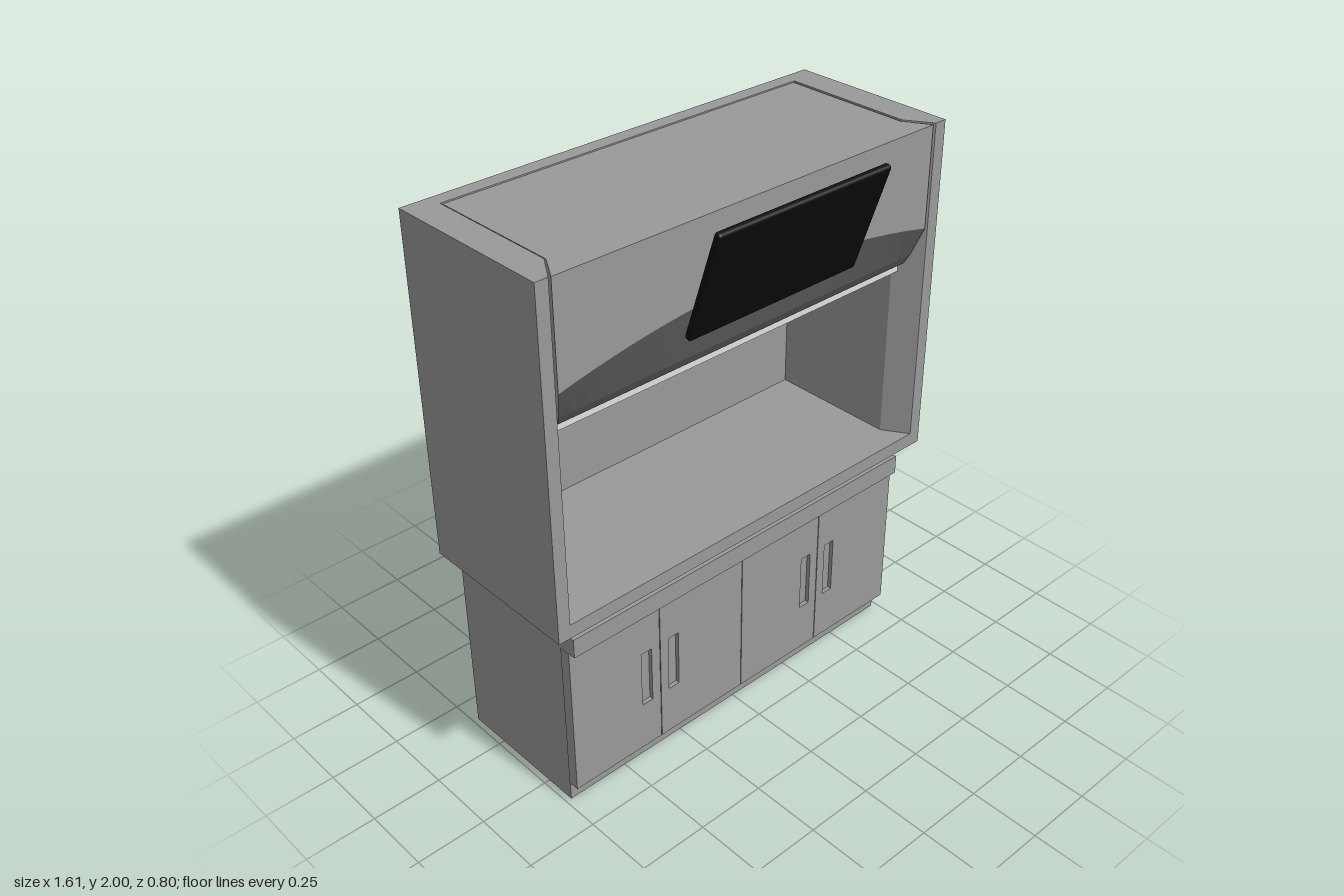
import * as THREE from 'three';
import { RoundedBoxGeometry } from 'three/addons/geometries/RoundedBoxGeometry.js';

const mat = (name, color) => {
  const m = new THREE.MeshStandardMaterial({ color });
  m.name = name;
  return m;
};

export function createModel() {
  const group = new THREE.Group();
  const grey = mat('cabinet grey', 0x999999);
  const dark = mat('dark fascia', 0x5c5c5c);
  const light = mat('light strip', 0xe0e0e0);
  const black = mat('screen black', 0x0c0c0c);

  const add = (name, geo, material) => {
    const mesh = new THREE.Mesh(geo, material);
    mesh.name = name;
    group.add(mesh);
    return mesh;
  };
  // Box given by its limits on each axis
  const box = (name, x0, x1, y0, y1, z0, z1, material = grey) => {
    const mesh = add(name, new THREE.BoxGeometry(x1 - x0, y1 - y0, z1 - z0), material);
    mesh.position.set((x0 + x1) / 2, (y0 + y1) / 2, (z0 + z1) / 2);
    return mesh;
  };

  // Base cupboard
  box('baseCabinet', -0.73, 0.73, 0, 0.715, -0.4, 0.115);
  box('counterTrim', -0.73, 0.73, 0.645, 0.715, 0.115, 0.18);
  box('neck', -0.7, 0.7, 0.715, 0.76, -0.375, 0.09);

  // Four doors with recessed grips either side of the outer seams
  const doorWidth = 0.367;
  for (let i = 0; i < 4; i++) {
    const x0 = (i - 2) * doorWidth + 0.0015, x1 = x0 + doorWidth - 0.003;
    const gripX = (i < 2 ? -1 : 1) * doorWidth + (i % 2 ? 0.058 : -0.058);
    const shape = new THREE.Shape([[x0, 0.075], [x1, 0.075], [x1, 0.645], [x0, 0.645]]
      .map(([x, y]) => new THREE.Vector2(x, y)));
    shape.holes.push(new THREE.Path([[-1, 0.26], [-1, 0.475], [1, 0.475], [1, 0.26]]
      .map(([s, y]) => new THREE.Vector2(gripX + s * 0.022, y))));
    const door = add('door', new THREE.ExtrudeGeometry(shape, { depth: 0.015, bevelEnabled: false }), grey);
    door.position.z = 0.14;
    box('doorBacking', x0, x1, 0.075, 0.645, 0.115, 0.14);
  }

  // Upper cabinet: U-shaped walls with flared front jambs, and a floor slab
  const plan = new THREE.Shape([
    [-0.805, -0.4], [-0.805, 0.21], [-0.76, 0.21], [-0.703, 0.12], [-0.703, -0.348],
    [0.703, -0.348], [0.703, 0.12], [0.76, 0.21], [0.805, 0.21], [0.805, -0.4],
  ].map(([x, z]) => new THREE.Vector2(x, -z)));
  const walls = new THREE.ExtrudeGeometry(plan, { depth: 1.955 - 0.81, bevelEnabled: false });
  walls.rotateX(-Math.PI / 2);
  add('cabinetWalls', walls, grey).position.y = 0.81;
  box('cabinetFloor', -0.805, 0.805, 0.76, 0.81, -0.4, 0.21);

  // Hood: a side profile swept across x, following the flare of the jambs
  const halfWidth = z => 0.697 + Math.max(0, z - 0.12) * 0.6;
  const section = t => [
    [-0.345, 1.46], [-0.345, 1.952], [0.12, 1.952], [0.208, 1.952],
    [0.208, 1.69 - 0.09 * t * t], [0.172, 1.5], [0.155, 1.467], [0.12, 1.46],
  ].map(([z, y]) => [t * halfWidth(z), y, z]);
  const hood = (edges, caps) => {
    const pos = [];
    const tri = (a, b, c) => pos.push(...a, ...b, ...c);
    const steps = 24;
    for (let i = 0; i < steps; i++) {
      const A = section(-1 + 2 * i / steps), B = section(-1 + 2 * (i + 1) / steps);
      for (const e of edges) {
        const n = (e + 1) % 8;
        tri(A[e], A[n], B[n]);
        tri(A[e], B[n], B[e]);
      }
    }
    if (caps) {
      for (const side of [-1, 1]) {
        const P = section(side);
        for (const face of [[0, 1, 2, 7], [2, 3, 4, 5, 6, 7]]) {
          for (let k = 1; k < face.length - 1; k++) {
            const [a, b, c] = [face[0], face[k], face[k + 1]].map(j => P[j]);
            if (side > 0) tri(a, b, c); else tri(a, c, b);
          }
        }
      }
    }
    const geo = new THREE.BufferGeometry();
    geo.setAttribute('position', new THREE.Float32BufferAttribute(pos, 3));
    geo.computeVertexNormals();
    return geo;
  };
  add('hood', hood([0, 1, 2, 3, 6, 7], true), grey);
  add('hoodFascia', hood([4, 5], false), dark);
  box('sashStrip', -0.71, 0.71, 1.435, 1.465, 0.115, 0.14, light);

  // Tilted screen on a short arm
  const arm = add('screenArm', new THREE.CylinderGeometry(0.031, 0.031, 0.12, 24), grey);
  arm.rotation.x = Math.PI / 2;
  arm.position.set(0, 1.82, 0.26);
  const screen = add('screen', new RoundedBoxGeometry(0.68, 0.39, 0.026, 3, 0.011), black);
  screen.rotation.x = 0.326;
  screen.position.set(0, 1.815, 0.327);

  return group;
}
